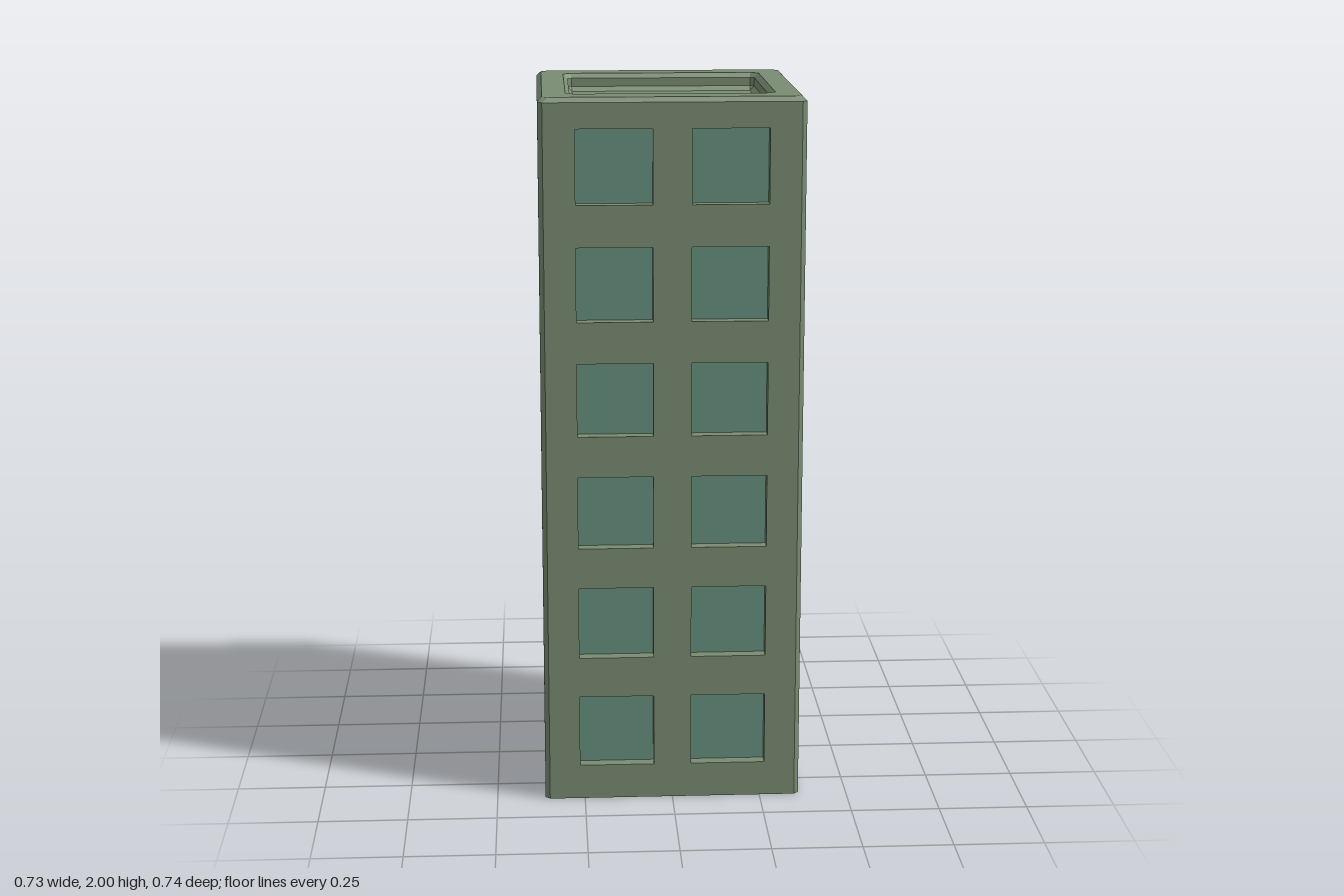
import * as THREE from 'three';

const HX = 0.363, HZ = 0.3685, TOP = 2, BEVEL = 0.013;
const RECESS = 0.035, WIN_W = 0.21, WIN_H = 0.206;

const wallMat = new THREE.MeshStandardMaterial({ color: 0x7a8c72, side: THREE.DoubleSide, flatShading: true });
const glassMat = new THREE.MeshStandardMaterial({ color: 0x67917f, side: THREE.DoubleSide, flatShading: true });

function mesh(name, geometry, material) {
  const m = new THREE.Mesh(geometry, material);
  m.name = name;
  return m;
}

// Strips of quads between successive closed rings; keep() chooses the segments.
function loft(rings, keep = () => true) {
  const pos = [];
  for (let k = 0; k + 1 < rings.length; k++) {
    const lower = rings[k], upper = rings[k + 1], n = lower.length;
    for (let i = 0; i < n; i++) {
      if (!keep(i)) continue;
      const j = (i + 1) % n;
      pos.push(...lower[i], ...lower[j], ...upper[j], ...lower[i], ...upper[j], ...upper[i]);
    }
  }
  const g = new THREE.BufferGeometry();
  g.setAttribute('position', new THREE.Float32BufferAttribute(pos, 3));
  g.computeVertexNormals();
  return g;
}

// Horizontal rectangle with cut corners, counter-clockwise from above.
function octagon(hx, hz, cut, y) {
  const x = hx - cut, z = hz - cut;
  return [[hx, y, z], [hx, y, -z], [x, y, -hz], [-x, y, -hz],
    [-hx, y, -z], [-hx, y, z], [-x, y, hz], [x, y, hz]];
}

function rectangle(x0, x1, y0, y1, z) {
  return [[x0, y0, z], [x1, y0, z], [x1, y1, z], [x0, y1, z]];
}

const toPoints = ring => ring.map(([x, y]) => new THREE.Vector2(x, y));

// One flat wall with two columns of six recessed windows, facing local +z.
function createWall(name, halfWidth) {
  const wall = new THREE.Group();
  wall.name = name;
  const hw = halfWidth - BEVEL;
  const shape = new THREE.Shape(toPoints(rectangle(-hw, hw, 0, TOP - BEVEL, 0)));
  for (let row = 0; row < 6; row++) {
    for (const cx of [-0.158, 0.158]) {
      const y = 0.1 + row * 0.322;
      const edge = z => rectangle(cx - WIN_W / 2, cx + WIN_W / 2, y, y + WIN_H, z);
      shape.holes.push(new THREE.Path(toPoints(edge(0)).reverse()));
      wall.add(mesh('windowReveal', loft([edge(0), edge(-RECESS)]), wallMat));
      const pane = mesh('windowPane', new THREE.PlaneGeometry(WIN_W, WIN_H), glassMat);
      pane.position.set(cx, y + WIN_H / 2, -RECESS);
      wall.add(pane);
    }
  }
  wall.add(mesh('wallFace', new THREE.ShapeGeometry(shape), wallMat));
  return wall;
}

export function createModel() {
  const building = new THREE.Group();
  building.name = 'towerBlock';

  // Four walls around an open-bottomed shell
  ['frontWall', 'leftWall', 'backWall', 'rightWall'].forEach((name, i) => {
    const side = i % 2 === 1;
    const wall = createWall(name, side ? HZ : HX);
    const angle = i * Math.PI / 2, distance = side ? HX : HZ;
    wall.rotation.y = angle;
    wall.position.set(Math.sin(angle) * distance, 0, Math.cos(angle) * distance);
    building.add(wall);
  });

  // Chamfered vertical corners
  const shoulder = octagon(HX, HZ, BEVEL, TOP - BEVEL);
  building.add(mesh('cornerChamfers', loft([octagon(HX, HZ, BEVEL, 0), shoulder], i => i % 2 === 1), wallMat));

  // Bevelled parapet stepping down into the sunken roof
  building.add(mesh('parapet', loft([
    shoulder,
    octagon(HX - BEVEL, HZ - BEVEL, 0.018, TOP),
    octagon(0.286, 0.274, 0.022, TOP),
    octagon(0.273, 0.261, 0.012, TOP - 0.013),
    octagon(0.273, 0.261, 0.012, TOP - 0.037),
    octagon(0.26, 0.248, 0, TOP - 0.05),
  ]), wallMat));

  const floor = mesh('roofFloor', new THREE.PlaneGeometry(0.52, 0.496), wallMat);
  floor.rotation.x = -Math.PI / 2;
  floor.position.y = TOP - 0.05;
  building.add(floor);

  return building;
}
